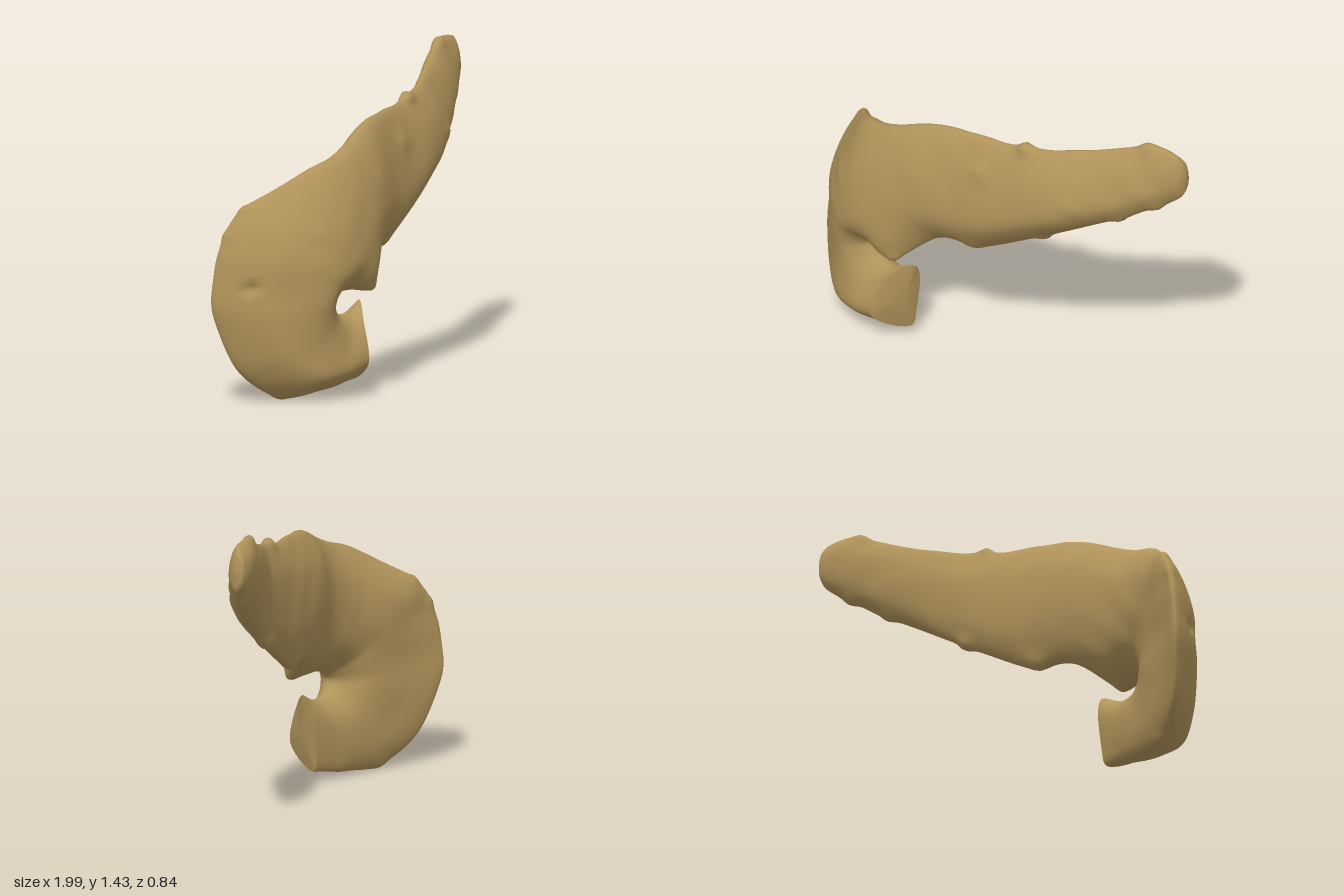
import * as THREE from 'three';

const RING = 60, STEPS = 170;

// Each section: outer edge xyz, inner edge xyz, two front depths, two back depths,
// and an optional sideways shift of the front
const tailAndBody = [
  [0.982, 1.38, -0.375, 0.992, 1.28, -0.385, -0.36, -0.36, -0.4, -0.4],
  [0.945, 1.42, -0.36, 0.975, 1.2, -0.37, -0.325, -0.33, -0.41, -0.41],
  [0.82, 1.42, -0.32, 0.89, 1.13, -0.32, -0.27, -0.25, -0.38, -0.38],
  [0.63, 1.345, -0.21, 0.72, 1.01, -0.21, -0.14, -0.12, -0.28, -0.28],
  [0.42, 1.285, -0.07, 0.50, 0.88, -0.10, 0.01, 0.03, -0.14, -0.15],
  [0.20, 1.24, 0.02, 0.28, 0.74, -0.02, 0.095, 0.12, -0.06, -0.075],
  [0.0, 1.23, 0.10, 0.07, 0.63, 0.06, 0.18, 0.19, 0.0, -0.01],
  [-0.20, 1.20, 0.18, -0.13, 0.61, 0.15, 0.28, 0.29, 0.06, 0.06],
  [-0.40, 1.11, 0.24, -0.27, 0.48, 0.32, 0.35, 0.38, 0.12, 0.15],
];
const headAndHook = [
  [-0.60, 1.04, 0.22, -0.40, 0.485, 0.31, 0.36, 0.41, 0.12, 0.15],
  [-0.84, 0.88, 0.06, -0.46, 0.475, 0.28, 0.30, 0.41, 0.05, 0.15],
  [-0.94, 0.74, 0.02, -0.485, 0.455, 0.28, 0.27, 0.40, 0.04, 0.14],
  [-0.99, 0.50, 0.0, -0.495, 0.435, 0.28, 0.25, 0.39, 0.04, 0.14],
  [-0.97, 0.33, 0.02, -0.49, 0.415, 0.28, 0.27, 0.38, 0.05, 0.14],
  [-0.89, 0.13, 0.08, -0.47, 0.39, 0.27, 0.31, 0.37, 0.08, 0.15],
  [-0.72, 0.01, 0.16, -0.44, 0.37, 0.26, 0.37, 0.36, 0.12, 0.16],
  [-0.50, 0.02, 0.18, -0.36, 0.37, 0.25, 0.39, 0.34, 0.15, 0.17, -0.03],
  [-0.30, 0.05, 0.20, -0.255, 0.41, 0.22, 0.385, 0.33, 0.18, 0.18, -0.07],
];
// Local lumps and hollows: x, y, z, radius, height
const lumps = [
  [0.29, 1.26, 0.0, 0.035, 0.03], [0.80, 1.42, -0.31, 0.04, 0.015],
  [0.87, 1.12, -0.32, 0.04, 0.015], [0.72, 1.02, -0.22, 0.035, 0.015],
  [0.57, 1.06, -0.06, 0.04, 0.02], [0.37, 0.81, -0.06, 0.04, 0.02],
  [0.12, 1.08, 0.13, 0.05, 0.014], [0.02, 0.63, 0.08, 0.05, 0.015],
  [-0.20, 0.96, 0.27, 0.04, 0.01], [-0.64, 0.78, 0.38, 0.05, 0.012],
  [-0.85, 0.88, 0.06, 0.03, 0.012], [-0.72, 0.01, 0.16, 0.04, 0.01],
  [-0.905, 0.53, 0.17, 0.025, -0.035], [-0.87, 0.77, 0.2, 0.02, -0.02],
  [-0.27, 0.48, 0.32, 0.035, 0.012], [-0.93, 0.76, 0.02, 0.03, 0.01],
];

function makeRings() {
  const rows = [...tailAndBody, ...headAndHook];
  const track = (pick) => new THREE.CatmullRomCurve3(
    rows.map((r) => new THREE.Vector3(...pick(r))), false, 'catmullrom', 0.5);
  const outer = track((r) => r.slice(0, 3));
  const inner = track((r) => r.slice(3, 6));
  const front = track((r) => [r[6], r[7], r[10] ?? 0]);
  const back = track((r) => [r[8], r[9], 0]);
  const points = [];
  for (let i = 0; i <= STEPS; i++) {
    const u = i / STEPS;
    const o = outer.getPoint(u), n = inner.getPoint(u);
    const f = front.getPoint(u), b = back.getPoint(u);
    const at = (t, z, shift = 0) => {
      const p = o.clone().lerp(n, t);
      return p.set(p.x + shift, p.y, z);
    };
    const loop = new THREE.CatmullRomCurve3(
      [o, at(0.28, f.x, f.z), at(0.79, f.y, f.z), n, at(0.8, b.y), at(0.24, b.x)],
      true, 'centripetal');
    for (let j = 0; j < RING; j++) points.push(loop.getPoint(j / RING));
  }
  return points;
}

function geometryFrom(points, index) {
  const g = new THREE.BufferGeometry().setFromPoints(points);
  g.setIndex(index);
  g.computeVertexNormals();
  return g;
}

// Closed fan over one ring of points
function fan(index, centre, start, flip) {
  for (let j = 0; j < RING; j++) {
    const a = start + j, b = start + (j + 1) % RING;
    index.push(centre, flip ? b : a, flip ? a : b);
  }
}

function ringCentre(ring) {
  return ring.reduce((s, p) => s.add(p), new THREE.Vector3()).divideScalar(ring.length);
}

export function createModel() {
  const group = new THREE.Group();
  const tissue = new THREE.MeshStandardMaterial({ color: 0xb0935a });
  tissue.name = 'tan tissue';

  const points = makeRings();
  const index = [];
  for (let i = 0; i < STEPS; i++) {
    for (let j = 0; j < RING; j++) {
      const a = i * RING + j, c = i * RING + (j + 1) % RING;
      index.push(a, a + RING, c, c, a + RING, c + RING);
    }
  }
  // Rounded tail tip
  const tip = ringCentre(points.slice(0, RING));
  tip.x += 0.01;
  points.push(tip);
  fan(index, points.length - 1, 0, false);

  // Lobed surface: slight uneven waves plus the local lumps
  const normals = geometryFrom(points, index).attributes.normal;
  const normal = new THREE.Vector3();
  points.forEach((p, k) => {
    let h = 0.003 * Math.sin(13 * p.x + 4 * Math.sin(5 * p.y)) * Math.sin(11 * p.y + 3 * Math.sin(7 * p.x));
    for (const [x, y, z, r, height] of lumps) {
      const d2 = (p.x - x) ** 2 + (p.y - y) ** 2 + (p.z - z) ** 2;
      h += height * Math.exp(-d2 / (r * r));
    }
    p.addScaledVector(normal.fromBufferAttribute(normals, k), h);
  });
  const body = new THREE.Mesh(geometryFrom(points, index), tissue);
  body.name = 'glandBody';
  group.add(body);

  // Gently domed face at the end of the hook
  const ring = points.slice(STEPS * RING, (STEPS + 1) * RING).map((p) => p.clone());
  const capPoints = [...ring, ringCentre(ring).add(new THREE.Vector3(0.025, 0, 0.008))];
  const capIndex = [];
  fan(capIndex, RING, 0, true);
  const cap = new THREE.Mesh(geometryFrom(capPoints, capIndex), tissue);
  cap.name = 'hookEnd';
  group.add(cap);

  return group;
}
